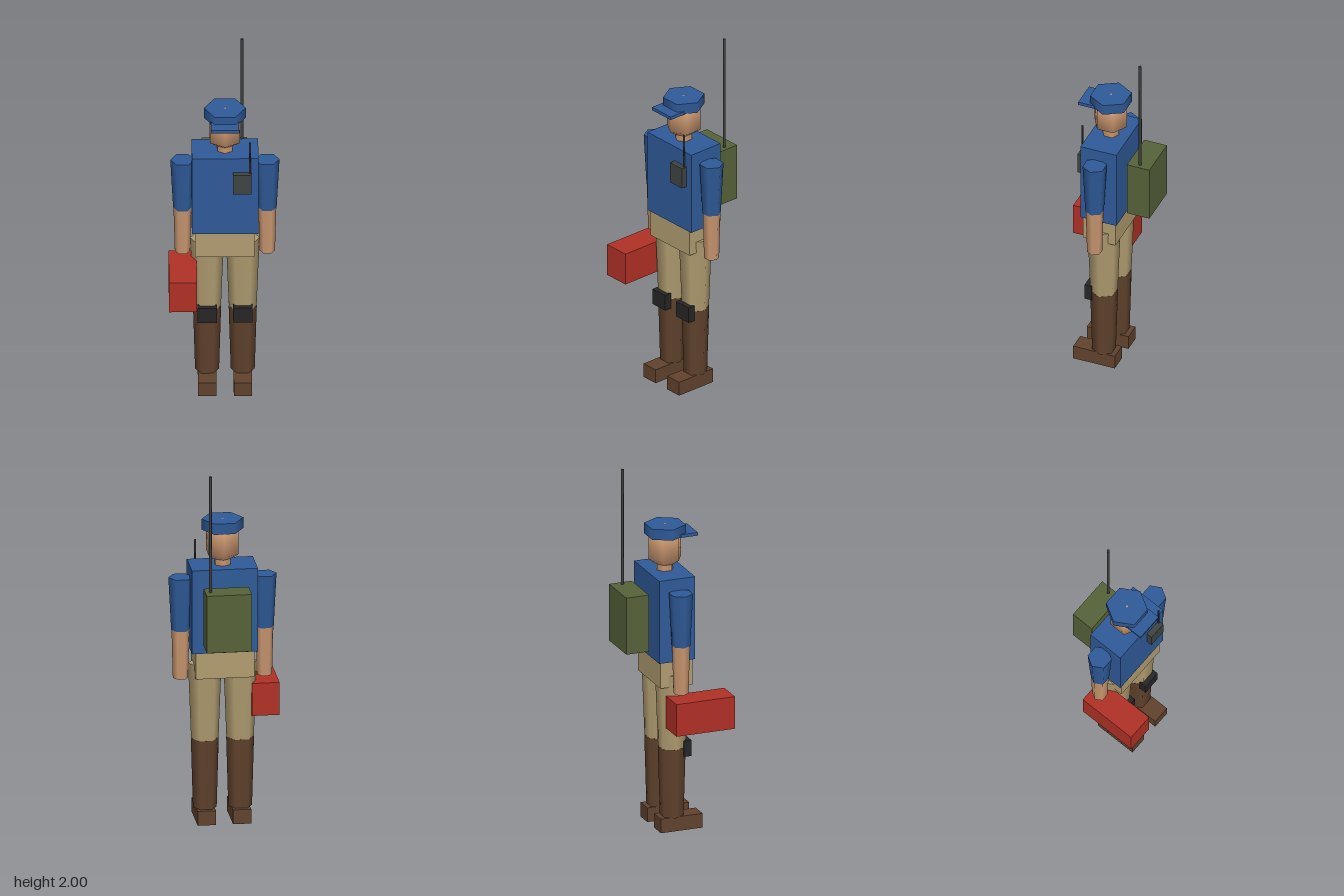
import * as THREE from 'three';

export function createModel() {
  const model = new THREE.Group();
  model.name = 'fieldRadioOperator';

  const mat = (name, color) => {
    const m = new THREE.MeshStandardMaterial({ color });
    m.name = name;
    return m;
  };
  const blue = mat('blue cloth', 0x2f5a98);
  const skin = mat('skin', 0xc8966f);
  const khaki = mat('khaki cloth', 0xb09c70);
  const brown = mat('brown leather', 0x60422d);
  const olive = mat('olive canvas', 0x566239);
  const red = mat('red paint', 0xb03026);
  const black = mat('black rubber', 0x262626);
  const grey = mat('dark grey plastic', 0x3e4442);

  const add = (name, geometry, material, x, y, z) => {
    const mesh = new THREE.Mesh(geometry, material);
    mesh.name = name;
    mesh.position.set(x, y, z);
    model.add(mesh);
    return mesh;
  };
  // Box given by its extents along each axis
  const box = (name, material, [x0, x1], [y0, y1], [z0, z1]) =>
    add(name, new THREE.BoxGeometry(x1 - x0, y1 - y0, z1 - z0), material,
      (x0 + x1) / 2, (y0 + y1) / 2, (z0 + z1) / 2);
  // Upright tapered prism; turn rotates its first corner away from +z
  const tube = (name, material, rTop, rBottom, [y0, y1], x, z, sides = 6, turn = Math.PI / 6) =>
    add(name, new THREE.CylinderGeometry(rTop, rBottom, y1 - y0, sides).rotateY(turn), material,
      x, (y0 + y1) / 2, z);

  const cx = 0.004, cz = -0.005; // body axis

  // Trunk
  box('torso', blue, [-0.173, 0.182], [0.973, 1.44], [-0.11, 0.097]);
  box('pelvis', khaki, [-0.155, 0.16], [0.825, 0.973], [-0.096, 0.09]);

  // Head and cap
  tube('neck', skin, 0.047, 0.047, [1.42, 1.52], cx, cz, 6, 0);
  const head = new THREE.SphereGeometry(0.108, 6, 3);
  head.rotateY(Math.PI / 6).scale(1, 1.2, 1);
  add('head', head, skin, cx, 1.57, cz);
  tube('cap', blue, 0.112, 0.112, [1.635, 1.695], cx, cz);
  box('capBrim', blue, [-0.072, 0.079], [1.631, 1.649], [0.03, 0.153]);

  // Arms and legs, mirrored about the body axis
  for (const [side, s] of [['right', -1], ['left', 1]]) {
    const ax = cx + s * 0.226, lx = cx + s * 0.095;
    tube(side + 'Sleeve', blue, 0.065, 0.05, [1.08, 1.375], ax, cz);
    tube(side + 'Forearm', skin, 0.048, 0.041, [0.81, 1.08], ax, cz);
    tube(side + 'Thigh', khaki, 0.09, 0.074, [0.467, 0.89], lx, cz);
    tube(side + 'BootShaft', brown, 0.075, 0.064, [0.078, 0.467], lx, cz);
    box(side + 'Foot', brown, [lx - 0.049, lx + 0.049], [0, 0.08], [-0.087, 0.153]);
    box(side + 'KneePad', black, [lx - 0.051, lx + 0.051], [0.415, 0.505], [0.045, 0.087]);
  }

  // Radio pack with whip antenna
  box('radioPack', olive, [-0.118, 0.125], [1.03, 1.35], [-0.277, -0.147]);
  tube('packAntenna', grey, 0.009, 0.009, [1.34, 2], 0.097, -0.212, 4, 0);

  // Handset on the chest
  box('handset', grey, [0.047, 0.145], [1.237, 1.355], [0.09, 0.13]);
  tube('handsetAntenna', grey, 0.006, 0.006, [1.35, 1.545], 0.135, 0.106, 3, Math.PI / 2);

  // Carried case
  box('toolCase', red, [-0.296, -0.147], [0.595, 0.777], [-0.061, 0.275]);

  return model;
}
